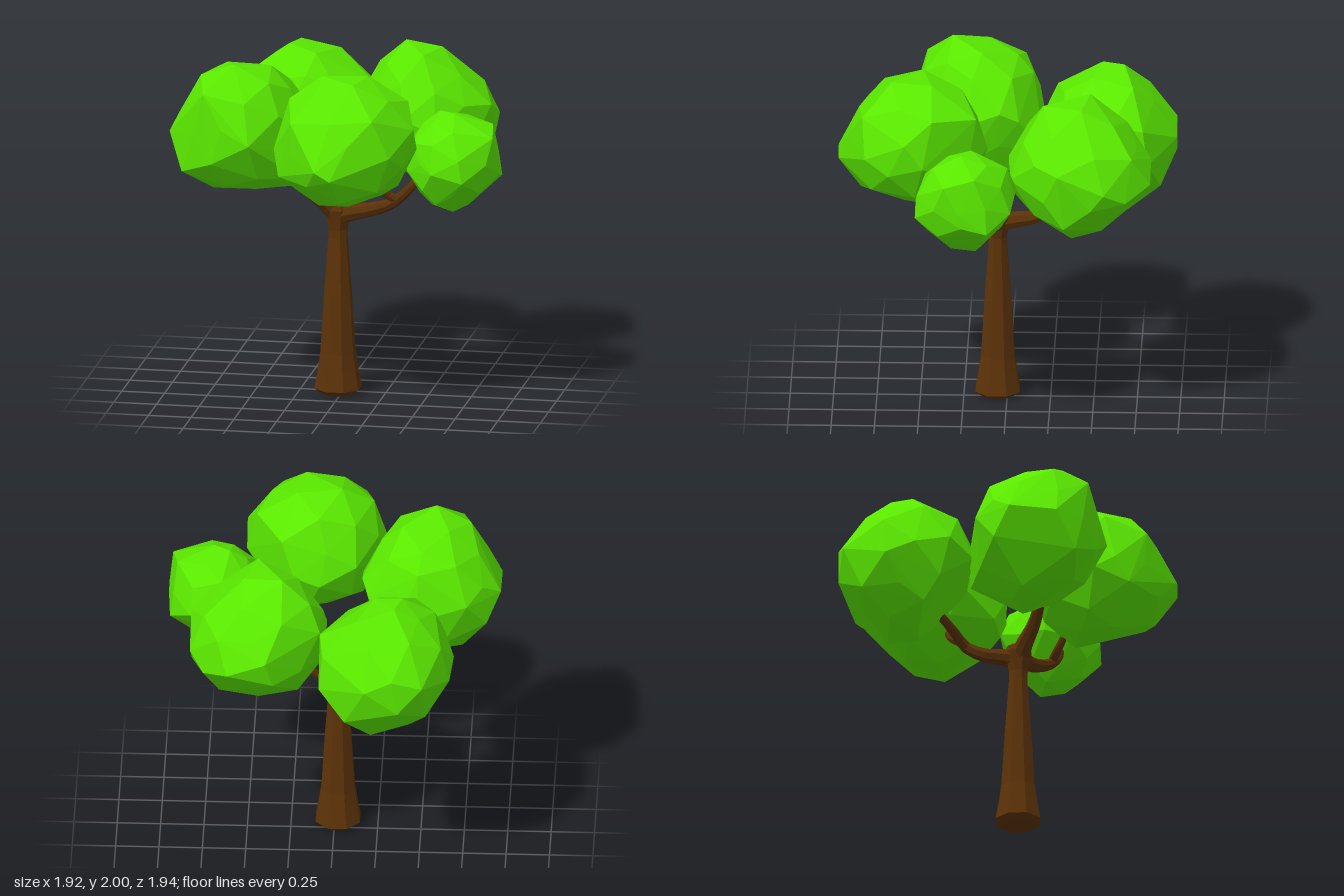
import * as THREE from 'three';
import { ConvexGeometry } from 'three/addons/geometries/ConvexGeometry.js';

const bark = new THREE.MeshStandardMaterial({ color: 0x5c3208, flatShading: true, side: THREE.DoubleSide });
const leaf = new THREE.MeshStandardMaterial({ color: 0x5ae800, flatShading: true });
const vec = (p) => new THREE.Vector3(...p);

// Points of an icosphere, each once, turned by the given angles
function spherePoints(turn) {
  const ico = new THREE.IcosahedronGeometry(1, 1);
  ico.rotateX(turn).rotateY(turn * 2).rotateZ(turn * 3);
  const unique = new Map();
  const pos = ico.attributes.position;
  for (let i = 0; i < pos.count; i++) {
    const v = new THREE.Vector3().fromBufferAttribute(pos, i);
    unique.set(v.toArray().map((c) => Math.round(c * 1000) + 0).join(), v);
  }
  return [...unique.values()];
}

// Push points that lie outside a convex outline (axes a, b) back onto its edges
function trim(points, outline, a, b, centre) {
  outline.forEach(([pa, pb], i) => {
    const [qa, qb] = outline[(i + 1) % outline.length];
    const n = new THREE.Vector2(qb - pb, pa - qa).normalize();
    if ((centre[a] - pa) * n.x + (centre[b] - pb) * n.y > 0) n.negate();
    for (const p of points) {
      const out = Math.max(0, (p[a] - pa) * n.x + (p[b] - pb) * n.y);
      p[a] -= n.x * out;
      p[b] -= n.y * out;
    }
  });
}

// Faceted crown: hull of an icosphere shaped by its top (x, z), front (x, y) and side (z, y) outlines
function crown(name, turn, top, front, side) {
  const outlines = [[top, 'x', 'z'], [front, 'x', 'y'], [side, 'z', 'y']];
  const box = new THREE.Box3();
  for (const [x, y] of front) for (const [z] of side) box.expandByPoint(vec([x, y, z]));
  const centre = box.getCenter(new THREE.Vector3());
  const half = box.getSize(new THREE.Vector3()).multiplyScalar(0.5);
  const points = spherePoints(turn);
  points.forEach((p) => p.multiply(half).add(centre));
  for (const [outline, a, b] of outlines) trim(points, outline, a, b, centre);
  // each outline corner takes over the nearest point still free
  const free = new Set(points);
  for (const [outline, a, b] of outlines) {
    for (const [u, v] of outline) {
      const gap = (p) => Math.hypot(p[a] - u, p[b] - v);
      const nearest = [...free].reduce((p, q) => (gap(p) < gap(q) ? p : q));
      if (gap(nearest) > 0.14) continue;
      nearest[a] = u;
      nearest[b] = v;
      free.delete(nearest);
    }
  }
  const mesh = new THREE.Mesh(new ConvexGeometry(points), leaf);
  mesh.name = name;
  return mesh;
}

// Tapered tube along a smooth path
function branch(name, path, r0, r1) {
  const curve = new THREE.CatmullRomCurve3(path.map(vec));
  const rings = 10, sides = 8;
  const geo = new THREE.TubeGeometry(curve, rings, 1, sides);
  const pos = geo.attributes.position;
  for (let i = 0; i < pos.count; i++) {
    const t = Math.floor(i / (sides + 1)) / rings;
    const c = curve.getPointAt(t);
    const r = r1 + (r0 - r1) * (1 - t) ** 1.8;
    const v = new THREE.Vector3().fromBufferAttribute(pos, i).sub(c).multiplyScalar(r).add(c);
    pos.setXYZ(i, v.x, v.y, v.z);
  }
  const mesh = new THREE.Mesh(geo, bark);
  mesh.name = name;
  return mesh;
}

export function createModel() {
  const tree = new THREE.Group();
  tree.name = 'tree';

  // Trunk with flared foot, narrow neck and widening fork
  const profile = [[0, 0], [0.1, 0.005], [0.139, 0.035], [0.117, 0.16], [0.104, 0.25], [0.082, 0.6],
    [0.057, 0.93], [0.056, 0.98], [0.07, 1.05], [0.082, 1.1], [0.066, 1.14], [0, 1.15]];
  const trunk = new THREE.Mesh(
    new THREE.LatheGeometry(profile.map(([r, y]) => new THREE.Vector2(r, y)), 8, Math.PI / 8), bark);
  trunk.position.set(-0.02, 0, 0.055);
  trunk.name = 'trunk';
  tree.add(trunk);

  // Main branches and their side shoots
  const base = [-0.02, 1.06, 0.055];
  tree.add(
    branch('rightBranch', [base, [-0.08, 1.13, 0.09], [-0.17, 1.22, 0.15], [-0.28, 1.33, 0.19], [-0.38, 1.43, 0.2]], 0.06, 0.026),
    branch('leftBranch', [base, [0.06, 1.09, 0.085], [0.2, 1.13, 0.14], [0.34, 1.2, 0.23], [0.46, 1.32, 0.28], [0.54, 1.42, 0.27]], 0.06, 0.025),
    branch('leftShoot', [[0.36, 1.22, 0.24], [0.31, 1.25, 0.26], [0.26, 1.31, 0.3], [0.22, 1.42, 0.36]], 0.028, 0.02),
    branch('backBranch', [base, [-0.02, 1.08, -0.03], [-0.03, 1.09, -0.14], [-0.04, 1.14, -0.25], [-0.11, 1.2, -0.31], [-0.24, 1.29, -0.42]], 0.06, 0.026),
    branch('backShoot', [[-0.04, 1.12, -0.22], [0.0, 1.19, -0.28], [0.1, 1.26, -0.33], [0.24, 1.39, -0.37]], 0.034, 0.022),
  );

  // Leaf crowns
  tree.add(
    crown('backRightCrown', 0.4,
      [[-0.71, -0.52], [-0.69, -0.69], [-0.54, -0.94], [-0.4, -0.97], [-0.21, -0.97], [-0.09, -0.88], [0.06, -0.69],
        [0.06, -0.6], [0.03, -0.42], [-0.12, -0.24], [-0.37, -0.19], [-0.65, -0.32]],
      [[-0.34, 1.07], [-0.13, 1.14], [0.06, 1.45], [0.04, 1.65], [-0.25, 1.87], [-0.37, 1.91], [-0.6, 1.78], [-0.71, 1.5], [-0.56, 1.2]],
      [[-0.72, 1.85], [-0.81, 1.77], [-0.97, 1.6], [-0.97, 1.37], [-0.69, 1.07], [-0.44, 1.18], [-0.19, 1.5], [-0.28, 1.75], [-0.54, 1.91]]),
    crown('backLeftCrown', 0.9,
      [[0.03, -0.5], [0.06, -0.58], [0.37, -0.84], [0.59, -0.84], [0.73, -0.7], [0.8, -0.5], [0.81, -0.31], [0.53, -0.03],
        [0.24, -0.09], [0.05, -0.35]],
      [[0.28, 1.98], [0.5, 1.96], [0.73, 1.75], [0.81, 1.55], [0.75, 1.32], [0.52, 1.18], [0.3, 1.2], [0.08, 1.4], [0.03, 1.6], [0.12, 1.84]],
      [[-0.02, 1.62], [-0.22, 1.96], [-0.48, 1.98], [-0.7, 1.81], [-0.84, 1.6], [-0.8, 1.46], [-0.61, 1.27], [-0.44, 1.18], [-0.06, 1.4]]),
    crown('rightCrown', 1.3,
      [[-0.96, 0.03], [-0.87, 0.41], [-0.68, 0.52], [-0.45, 0.58], [-0.28, 0.38], [-0.16, 0.05], [-0.2, -0.06],
        [-0.32, -0.21], [-0.48, -0.21], [-0.77, -0.17]],
      [[-0.96, 1.58], [-0.78, 1.92], [-0.58, 2], [-0.39, 1.96], [-0.27, 1.84], [-0.16, 1.6], [-0.2, 1.33], [-0.29, 1.23],
        [-0.55, 1.2], [-0.67, 1.24], [-0.88, 1.45]],
      [[0.25, 2], [-0.05, 1.91], [-0.14, 1.81], [-0.21, 1.58], [-0.15, 1.36], [0.1, 1.2], [0.4, 1.29], [0.58, 1.52], [0.48, 1.85]]),
    crown('frontCrown', 1.9,
      [[0.09, 0.11], [0.31, 0.17], [0.35, 0.23], [0.52, 0.58], [0.42, 0.81], [0.1, 0.97], [-0.16, 0.8], [-0.25, 0.7],
        [-0.29, 0.5], [-0.12, 0.19]],
      [[-0.29, 1.59], [-0.21, 1.88], [-0.03, 2], [0.23, 2], [0.46, 1.86], [0.52, 1.59], [0.42, 1.38], [0.3, 1.28], [0.14, 1.26],
        [-0.15, 1.32], [-0.27, 1.45]],
      [[0.97, 1.55], [0.85, 1.81], [0.66, 2], [0.4, 2], [0.26, 1.93], [0.11, 1.62], [0.2, 1.38], [0.41, 1.27], [0.6, 1.26], [0.84, 1.34]]),
    crown('smallLeftCrown', 2.3,
      [[0.6, -0.07], [0.83, -0.04], [0.93, 0.1], [0.96, 0.24], [0.91, 0.4], [0.61, 0.51], [0.44, 0.35], [0.4, 0.2], [0.44, 0.06]],
      [[0.7, 1.75], [0.91, 1.68], [0.94, 1.64], [0.96, 1.48], [0.95, 1.36], [0.7, 1.18], [0.56, 1.19], [0.4, 1.45], [0.51, 1.68]],
      [[0.19, 1.75], [0.41, 1.68], [0.5, 1.53], [0.51, 1.4], [0.4, 1.24], [0.16, 1.19], [0.01, 1.34], [-0.06, 1.5], [-0.02, 1.66]]),
  );
  return tree;
}
